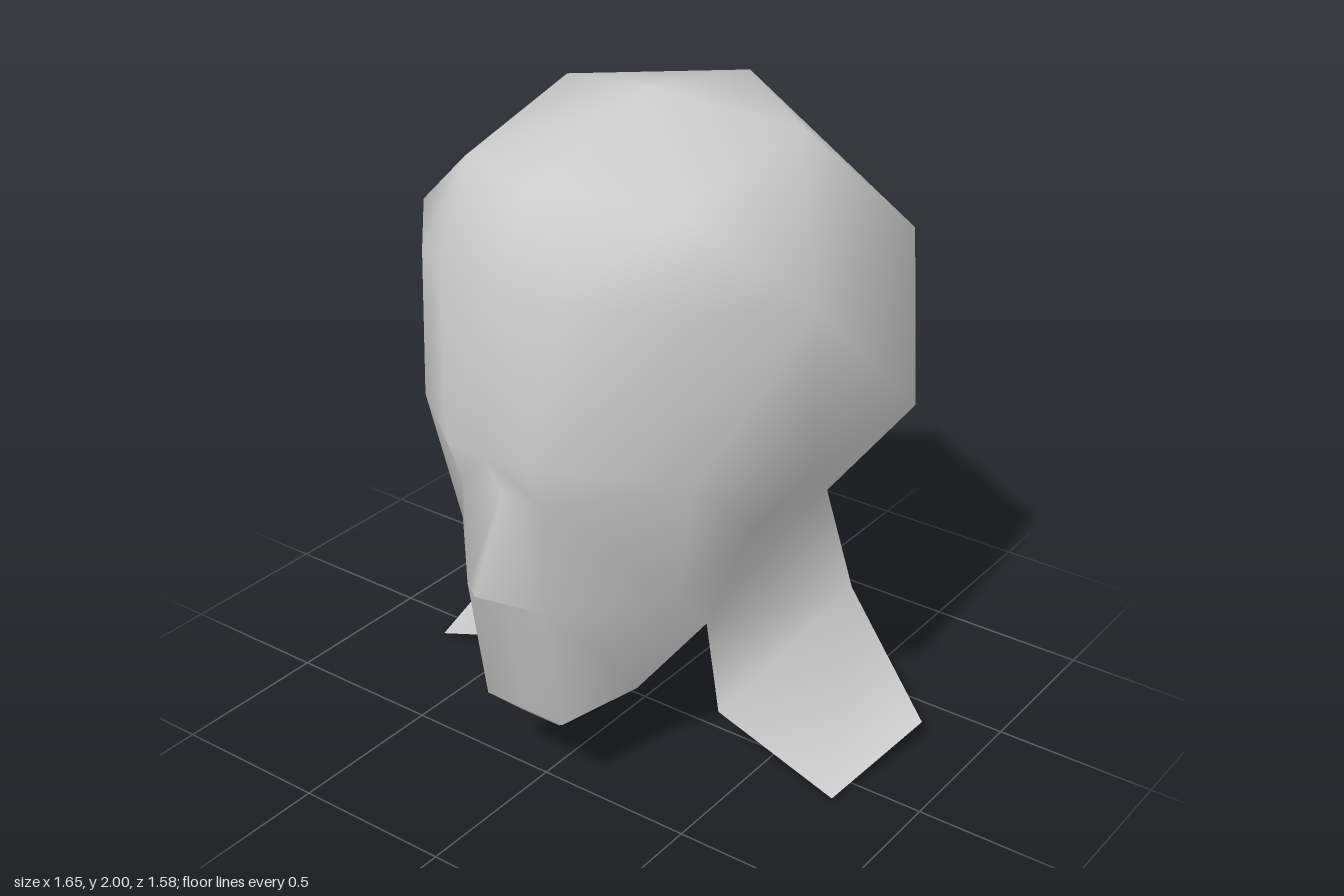
import * as THREE from 'three';

// Half cross-sections from crown to chin; each runs from the back centre round the left side to the front centre.
const crownSide = [0.41, 1.93, -0.17];
const crownFront = [0, 1.86, 0.52];
const crown = [[0, 1.93, -0.52], crownSide, crownSide, [0.37, 1.83, 0.34], crownFront, crownFront];
const temple = [[0, 1.65, -0.79], [0.62, 1.6, -0.45], [0.69, 1.58, 0.17], [0.39, 1.6, 0.51], [0.22, 1.65, 0.63], [0, 1.65, 0.66]];
const brow = [[0, 0.97, -0.79], [0.62, 1.01, -0.52], [0.69, 1.11, 0.17], [0.48, 1.1, 0.43], [0.14, 1.17, 0.72], [0, 1.17, 0.73]];
const eyes = [...brow.slice(0, 4), [0.14, 1.03, 0.66], [0, 1.03, 0.66]];
const noseTip = [[0, 0.62, -0.58], [0.35, 0.65, -0.48], [0.42, 0.77, 0.03], [0.4, 0.69, 0.38], [0.14, 0.69, 0.66], [0, 0.76, 0.79]];
const noseBase = [...noseTip.slice(0, 5), [0, 0.69, 0.66]];
const jaw = [[0, 0.28, -0.65], [0.41, 0.28, -0.56], [0.35, 0.49, 0.17], [0.2, 0.28, 0.31], [0.14, 0.28, 0.59], [0, 0.28, 0.59]];
const chin = [...jaw.slice(0, 4), [0.07, 0.21, 0.52], [0, 0.21, 0.52]];
const apex = [0, 2, -0.03];

export function createModel() {
  const positions = [];
  const lookup = new Map();
  const parts = { skull: [], face: [], neck: [], leftShoulder: [], rightShoulder: [] };

  // Shared corners are welded so shading runs smoothly across parts
  const corner = (p) => {
    const key = p.map((v) => v.toFixed(3)).join();
    if (!lookup.has(key)) {
      lookup.set(key, positions.length / 3);
      positions.push(...p);
    }
    return lookup.get(key);
  };
  const mirror = ([x, y, z]) => [x === 0 ? 0 : -x, y, z];

  // Adds a triangle on the left and its mirror image on the right
  const triangle = (left, right, a, b, c) => {
    const i = [a, b, c].map(corner);
    if (new Set(i).size < 3) return;
    parts[left].push(...i);
    parts[right].push(...[a, c, b].map((p) => corner(mirror(p))));
  };
  // Joins two sections; flipped columns are split along the other diagonal
  const band = (part, upper, lower, from, to, flipped = []) => {
    for (let c = from; c < to; c++) {
      const flip = flipped.includes(c);
      triangle(part, part, upper[c], upper[c + 1], lower[flip ? c + 1 : c]);
      triangle(part, part, upper[flip ? c : c + 1], lower[c + 1], lower[c]);
    }
  };

  // Skull: crown fan, sides and underside
  for (let c = 0; c < 5; c++) triangle('skull', 'skull', apex, crown[c + 1], crown[c]);
  band('skull', crown, temple, 0, 5, [0, 3]);
  band('skull', temple, brow, 0, 5, [2]);
  band('skull', eyes, noseTip, 0, 2, [0, 1]);

  // Face with nose, jaw and chin, open underneath
  band('face', brow, eyes, 2, 5);
  band('face', eyes, noseTip, 2, 5);
  band('face', noseTip, noseBase, 4, 5);
  band('face', noseBase, jaw, 2, 5);
  band('face', jaw, chin, 3, 5);

  // Neck, open at the front
  band('neck', noseBase, jaw, 0, 2, [0, 1]);

  // Shoulder flaps spreading from the neck
  const rim = [jaw[2], [0.35, 0.14, 0.1], [0.76, 0, 0.1], [0.825, 0.07, -0.31]];
  for (let k = 0; k < 3; k++) triangle('leftShoulder', 'rightShoulder', jaw[1], rim[k], rim[k + 1]);

  // Smooth normals from the whole surface, then one mesh for each part
  const whole = new THREE.BufferGeometry();
  whole.setAttribute('position', new THREE.Float32BufferAttribute(positions, 3));
  whole.setIndex(Object.values(parts).flat());
  whole.computeVertexNormals();

  const clay = new THREE.MeshStandardMaterial({ color: 0xcccccc, side: THREE.DoubleSide });
  clay.name = 'light grey';

  const group = new THREE.Group();
  group.name = 'headBust';
  for (const [name, index] of Object.entries(parts)) {
    const geometry = new THREE.BufferGeometry();
    geometry.setAttribute('position', whole.attributes.position);
    geometry.setAttribute('normal', whole.attributes.normal);
    geometry.setIndex(index);
    const mesh = new THREE.Mesh(geometry, clay);
    mesh.name = name;
    group.add(mesh);
  }
  return group;
}
